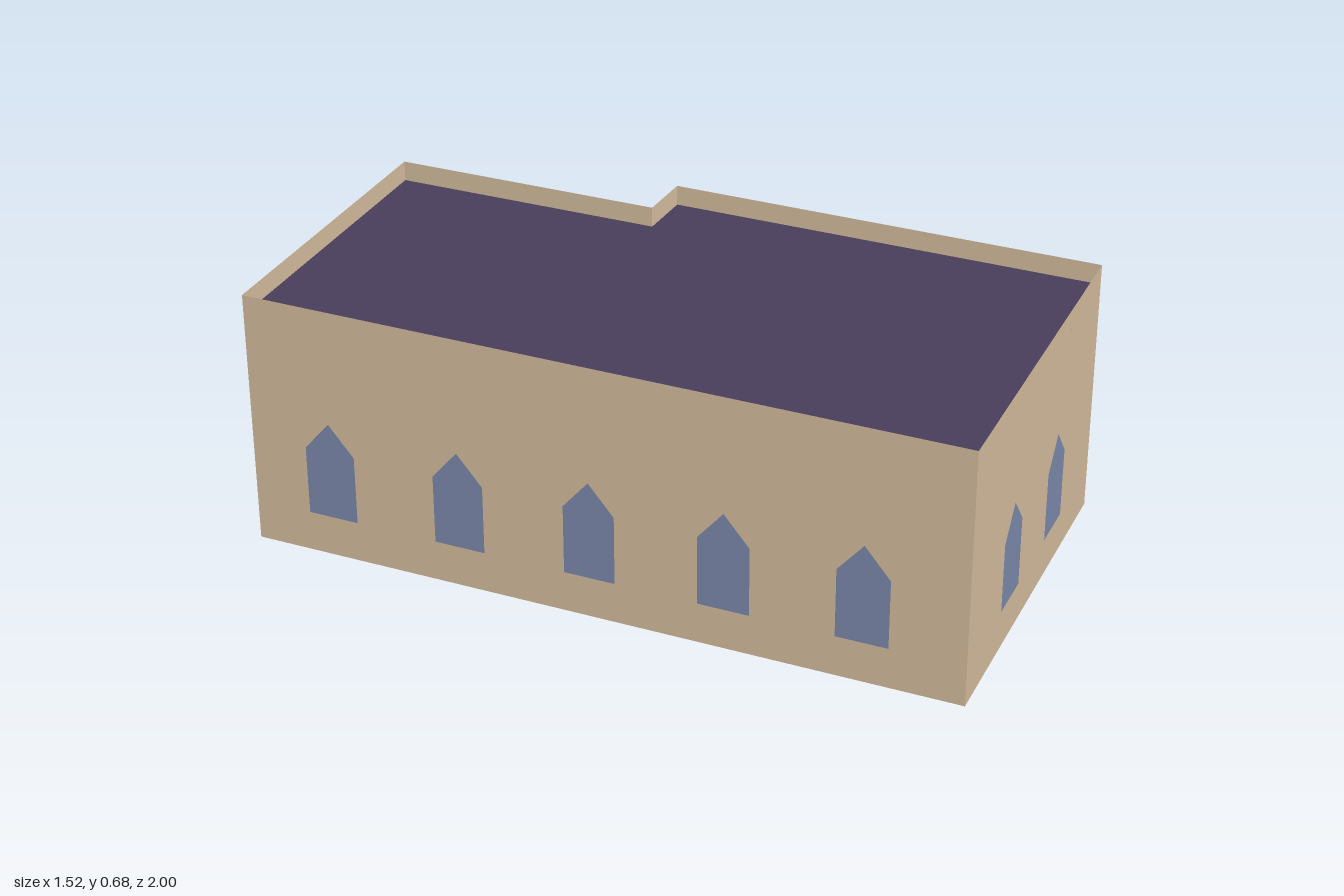
import * as THREE from 'three';

const HEIGHT = 0.68;
const ROOF_Y = 0.627;

export function createModel() {
  const model = new THREE.Group();
  model.name = 'building';

  const stone = new THREE.MeshStandardMaterial({ color: 0xd2bb9c, side: THREE.DoubleSide });
  stone.name = 'sandstone';
  const glass = new THREE.MeshStandardMaterial({ color: 0x7a87aa });
  glass.name = 'blue glass';
  const slate = new THREE.MeshStandardMaterial({ color: 0x483d5b, side: THREE.DoubleSide });
  slate.name = 'purple roof';

  // Footprint corners (x, z), counterclockwise from above
  const corners = {
    frontLeft: [-0.144, 1.0], frontRight: [0.757, 0.674],
    stepOuter: [0.381, -0.383], stepInner: [0.246, -0.344],
    backRight: [0.008, -1.0], backLeft: [-0.759, -0.741],
  };

  // Pointed window outline, standing on the wall's base line
  const pane = new THREE.ShapeGeometry(new THREE.Shape([
    new THREE.Vector2(-0.066, 0.11), new THREE.Vector2(0.066, 0.11),
    new THREE.Vector2(0.066, 0.294), new THREE.Vector2(0, 0.373),
    new THREE.Vector2(-0.066, 0.294),
  ]));

  // Thin wall from one corner to the next, with windows at fractions of its length
  function addWall(name, from, to, windows) {
    const [x0, z0] = corners[from];
    const [x1, z1] = corners[to];
    const length = Math.hypot(x1 - x0, z1 - z0);
    const group = new THREE.Group();
    group.name = name;
    group.position.set(x0, 0, z0);
    group.rotation.y = Math.atan2(z0 - z1, x1 - x0);

    const wall = new THREE.Mesh(new THREE.PlaneGeometry(length, HEIGHT), stone);
    wall.name = name + 'Panel';
    wall.position.set(length / 2, HEIGHT / 2, 0);
    group.add(wall);

    for (const t of windows) {
      const win = new THREE.Mesh(pane, glass);
      win.name = 'window';
      win.position.set(t * length, 0, 0.003);
      group.add(win);
    }
    model.add(group);
  }

  addWall('frontWall', 'frontLeft', 'frontRight', [0.323, 0.677]);
  addWall('rightWall', 'frontRight', 'stepOuter', [0.197, 0.5, 0.806]);
  addWall('stepWall', 'stepOuter', 'stepInner', []);
  addWall('rightRearWall', 'stepInner', 'backRight', [0.5]);
  addWall('backWall', 'backRight', 'backLeft', [0.29, 0.71]);
  addWall('leftWall', 'backLeft', 'frontLeft', [0.116, 0.303, 0.489, 0.675, 0.862]);

  // Flat roof set below the parapet
  const outline = Object.values(corners).map(([x, z]) => new THREE.Vector2(x, -z));
  const roof = new THREE.Mesh(new THREE.ShapeGeometry(new THREE.Shape(outline)), slate);
  roof.name = 'roof';
  roof.rotation.x = -Math.PI / 2;
  roof.position.y = ROOF_Y;
  model.add(roof);

  return model;
}
